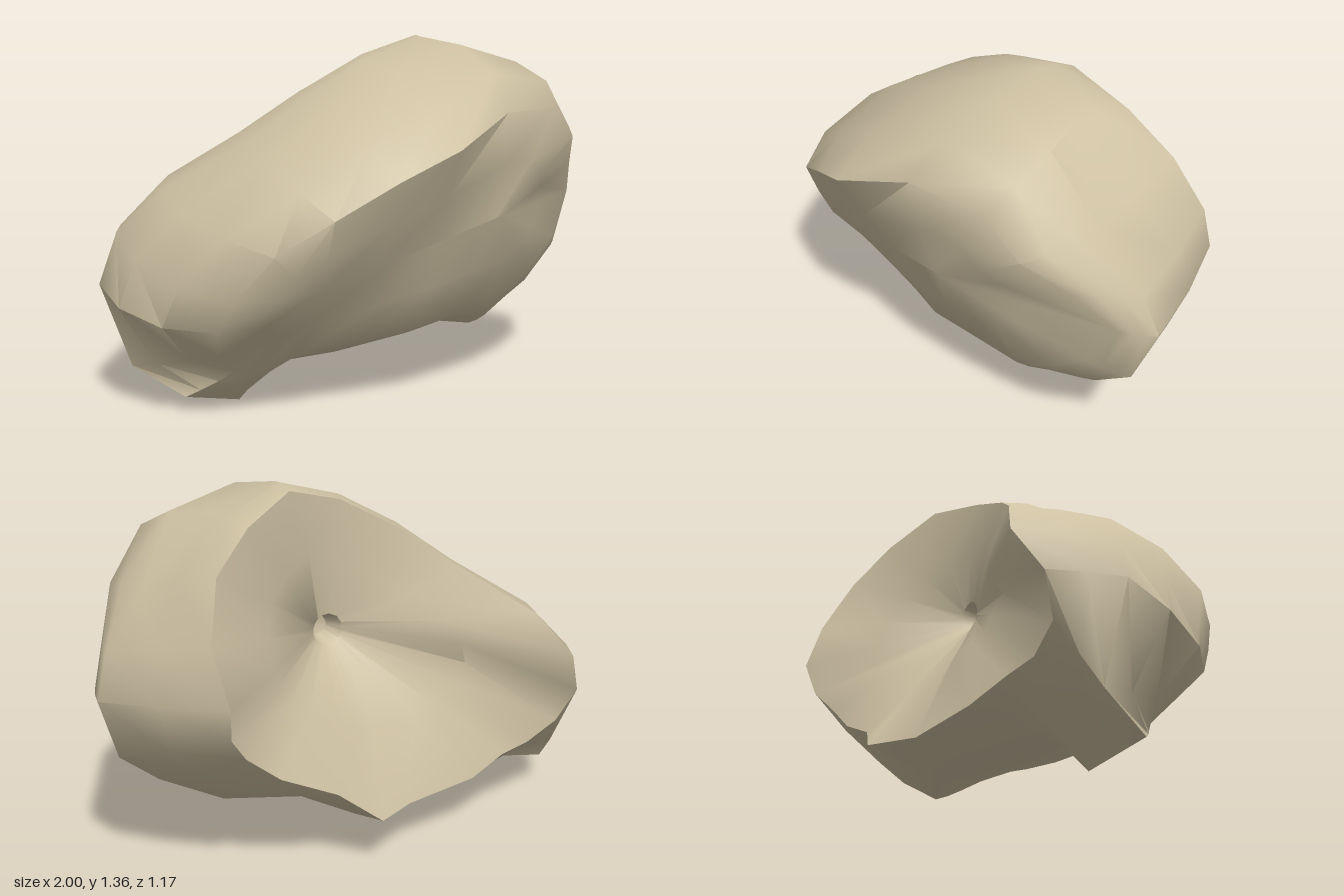
import * as THREE from 'three';
import { toCreasedNormals } from 'three/addons/utils/BufferGeometryUtils.js';

const V = (p) => new THREE.Vector3(...p);

// Hollow rim at the back, counter-clockwise from the right
const rim = [
  [.7, .72, -.59], [.73, .92, -.52], [.66, 1.12, -.42], [.5, 1.25, -.33], [.29, 1.34, -.23],
  [.05, 1.28, -.16], [-.2, 1.15, -.19], [-.42, .99, -.28], [-.66, .82, -.43], [-.79, .65, -.5],
  [-.88, .48, -.43], [-.83, .34, -.37], [-.7, .27, -.36], [-.56, .25, -.38], [-.39, .2, -.42],
  [-.08, .18, -.46], [.1, .19, -.56], [.25, .3, -.5], [.47, .4, -.49], [.6, .5, -.49], [.68, .6, -.55],
].map(V);

// Widest belt of the rock
const belt = [
  [1, .68, -.18], [.95, .83, -.14], [.78, 1.02, -.06], [.53, 1.27, -.1], [.28, 1.355, -.1],
  [0, 1.27, -.05], [-.25, 1.14, 0], [-.47, .99, 0], [-.78, .81, -.1], [-.93, .65, -.2],
  [-1, .46, -.2], [-.88, .13, -.22], [-.75, .06, .03], [-.52, 0, -.04], [-.42, .12, -.08],
  [-.13, .09, -.2], [.12, .14, -.2], [.3, .2, -.15], [.5, .18, -.08], [.76, .32, -.1], [.92, .45, -.14],
].map(V);

// Front ridge above and lower front edge below
const ridge = [
  [.95, .71, -.05], [.87, .85, .08], [.78, .97, .23], [.65, 1.09, .3], [.36, 1.09, .43],
  [.08, .98, .585], [-.15, .88, .575], [-.38, .76, .55], [-.57, .64, .48], [-.68, .47, .37],
  [-.72, .36, .31], [-.68, .25, .21], [-.6, .17, .15], [-.5, .15, .13], [-.38, .22, .21],
  [-.1, .25, .23], [.1, .27, .23], [.28, .29, .18], [.5, .27, .08], [.7, .4, .05], [.85, .53, 0],
].map(V);

// Gentle spine on which the front face closes
const spine = ridge.map((p) => {
  const x = THREE.MathUtils.clamp(p.x, -.4, .4);
  return V([x, .6 + .25 * x, .395 - .13 * x]);
});

const pit = V([.1, .8, -.14]);
const bodyCentre = V([0, .7, 0]);

// Ring between two rings, pushed away from the body centre
function between(a, b, t, bulge) {
  return a.map((p, i) => {
    const m = p.clone().lerp(b[i], t);
    const out = m.clone().sub(bodyCentre).normalize();
    return m.addScaledVector(out, bulge(i));
  });
}

// Loft quads through closed rings
function loft(rings) {
  const n = rings[0].length, pos = [], index = [];
  rings.forEach((r) => r.forEach((p) => pos.push(p.x, p.y, p.z)));
  for (let r = 0; r < rings.length - 1; r++) {
    for (let k = 0; k < n; k++) {
      const a = r * n + k, b = r * n + (k + 1) % n;
      index.push(a, b, b + n, a, b + n, a + n);
    }
  }
  const g = new THREE.BufferGeometry();
  g.setAttribute('position', new THREE.Float32BufferAttribute(pos, 3));
  g.setIndex(index);
  return toCreasedNormals(g, 0.95);
}

export function createModel() {
  const group = new THREE.Group();
  group.name = 'rock';
  const stone = new THREE.MeshStandardMaterial({ color: 0xcdc0a2 });
  stone.name = 'sandy stone';

  // The upper side is rounder than the underside
  const upper = (i) => (i >= 3 && i <= 10 ? 0.075 : i === 2 ? 0.04 : 0.01);

  // Small hole in the middle of the hollow
  const holeEdge = rim.map((p) => {
    const d = p.clone().sub(pit).setZ(0).normalize();
    return pit.clone().addScaledVector(d, 0.06).setZ(-0.16);
  });
  const holeFloor = holeEdge.map((p) => p.clone().lerp(pit, 0.4).setZ(-0.08));
  const holeEnd = rim.map(() => V([.1, .8, -.07]));

  // The hollow is steeper low down on both sides of a central valley
  const steep = (i) => (i >= 11 && i <= 14) || (i >= 17 && i <= 19);
  const bowl = between(holeEdge, rim, 0.5, () => 0)
    .map((p, i) => p.setZ(p.z - (steep(i) ? 0.07 : 0.015)));

  const hollow = new THREE.Mesh(loft([holeEnd, holeFloor, holeEdge, bowl, rim]), stone);
  hollow.name = 'backHollow';

  const body = new THREE.Mesh(loft([
    rim, between(rim, belt, 0.5, () => 0.015), belt,
    between(belt, ridge, 0.35, upper), between(belt, ridge, 0.7, upper), ridge,
    between(ridge, spine, 0.5, () => 0.01), spine,
  ]), stone);
  body.name = 'rockBody';

  group.add(hollow, body);
  return group;
}
